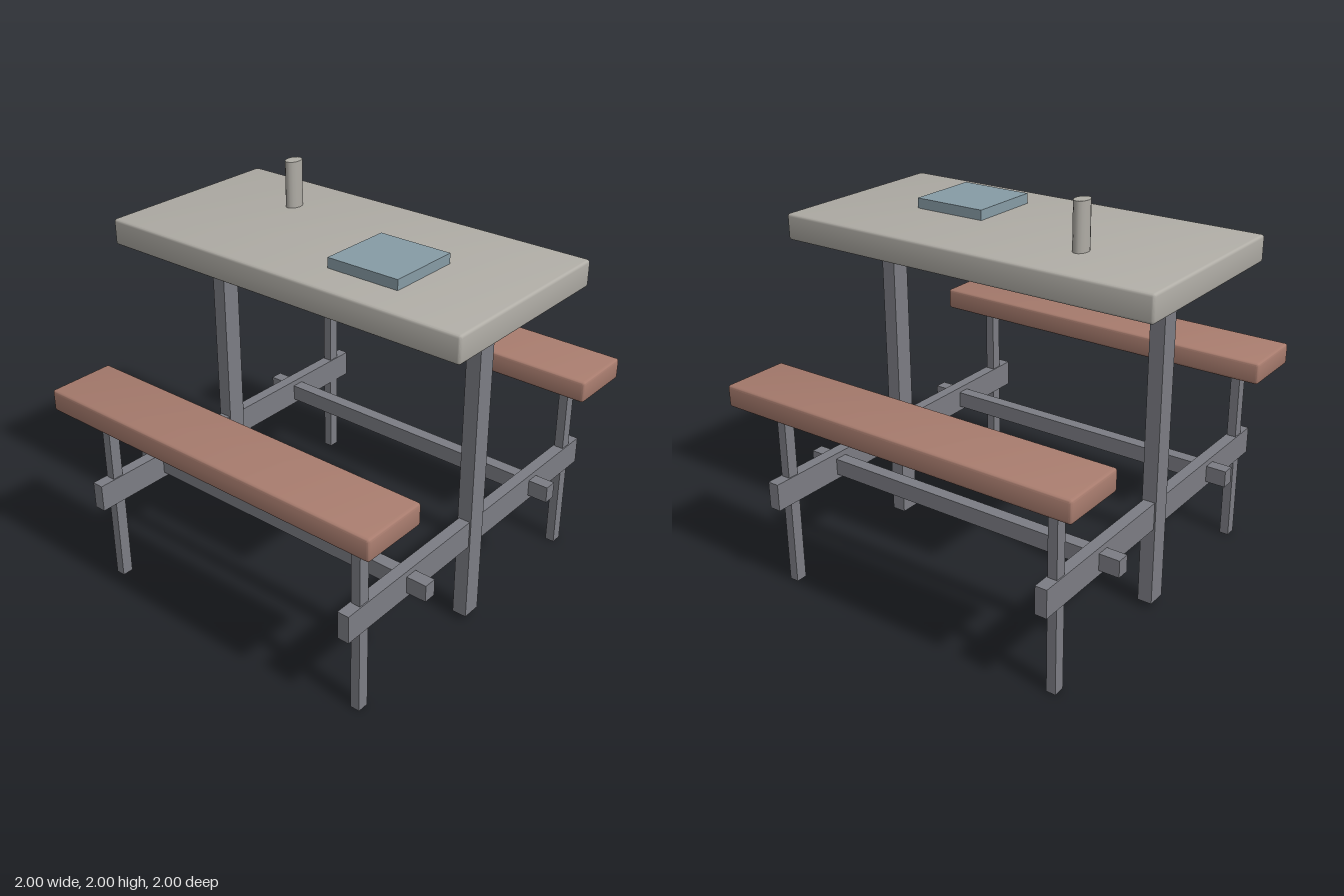
import * as THREE from 'three';
import { RoundedBoxGeometry } from 'three/addons/geometries/RoundedBoxGeometry.js';
import { toCreasedNormals } from 'three/addons/utils/BufferGeometryUtils.js';

const material = (name, color) => {
  const m = new THREE.MeshStandardMaterial({ color });
  m.name = name;
  return m;
};

export function createModel() {
  const stone = material('pale stone', 0xb0ada6);
  const wood = material('reddish wood', 0xa87c6e);
  const steel = material('grey steel', 0x7c7d84);
  const slate = material('blue slate', 0x879ca6);
  const model = new THREE.Group();
  model.name = 'picnicTable';

  const add = (name, geometry, mat, x, y, z) => {
    const mesh = new THREE.Mesh(geometry, mat);
    mesh.name = name;
    mesh.position.set(x, y, z);
    model.add(mesh);
    return mesh;
  };
  // Boxes are given by size, bottom height and centre
  const box = (name, mat, w, h, d, x, bottom, z) =>
    add(name, new THREE.BoxGeometry(w, h, d), mat, x, bottom + h / 2, z);
  const slab = (name, mat, w, h, d, x, bottom, z) =>
    add(name, toCreasedNormals(new RoundedBoxGeometry(w, h, d, 2, 0.014), 0.5), mat, x, bottom + h / 2, z);

  // Table top
  slab('tableTop', stone, 2, 0.13, 1, 0, 1.64, 0);

  // Benches and the long rails below them
  for (const [side, s] of [['front', 1], ['back', -1]]) {
    slab(side + 'Bench', wood, 1.91, 0.11, 0.345, 0, 0.96, s * 0.8275);
    box(side + 'Rail', steel, 1.816, 0.085, 0.065, 0, 0.466, s * 0.502);
  }

  // End frames: table post, crossbeam and two bench legs
  for (const [side, s] of [['left', 1], ['right', -1]]) {
    const x = s * 0.774;
    box(side + 'TablePost', steel, 0.075, 1.62, 0.1, x, 0.03, 0);
    box(side + 'Crossbeam', steel, 0.06, 0.14, 1.876, x, 0.44, 0);
    box(side + 'FrontLeg', steel, 0.048, 0.965, 0.058, x, 0, 0.826);
    box(side + 'BackLeg', steel, 0.048, 0.965, 0.058, x, 0, -0.826);
  }

  // Things on the table: an oval post and a flat square tile
  const stub = add('ovalPost', new THREE.CylinderGeometry(1, 1, 0.23, 16), stone, -0.46, 1.885, -0.187);
  stub.scale.set(0.035, 1, 0.049);
  box('squareTile', slate, 0.38, 0.05, 0.376, 0.361, 1.77, 0.123);

  return model;
}
